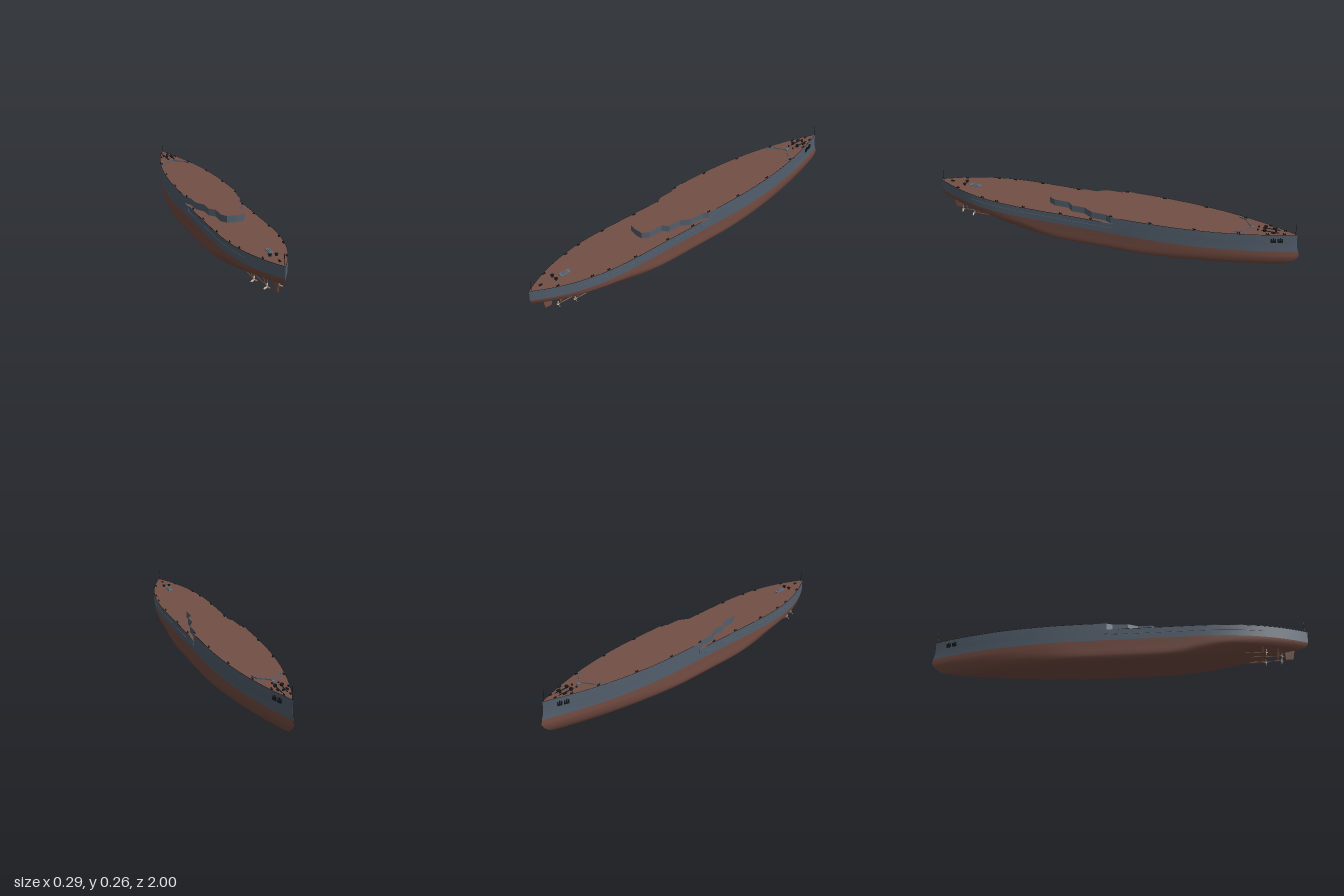
import * as THREE from 'three';

const mat = (name, color) => {
  const m = new THREE.MeshStandardMaterial({ color });
  m.name = name;
  return m;
};

// Waterlines: height, bow z, stern z, greatest half breadth
const LINES = [
  [0, -0.80, 0.66, 0.118], [0.006, -0.87, 0.69, 0.129], [0.015, -0.915, 0.73, 0.136],
  [0.03, -0.955, 0.80, 0.139], [0.05, -0.98, 0.87, 0.14], [0.065, -0.992, 0.95, 0.14],
  [0.08, -1, 0.99, 0.141], [0.105, -0.995, 1, 0.142],
  [0.135, -0.986, 1, 0.1425], [0.165, -0.984, 1, 0.143],
];
const N = 64;

// Half breadth of a waterline at z
function halfBreadth([y, bow, stern, w], z) {
  const k = y / 0.165;
  const b = Math.max(0, 1 - (z - bow) / (0.75 + 0.1 * k));
  const s = Math.max(0, 1 - (stern - z) / (0.5 + 0.1 * k));
  return w * Math.max(0, 1 - b ** (1.7 + 0.6 * k)) * Math.max(0, 1 - s ** (2.1 + 0.4 * k));
}

// One side of a waterline, bow to stern, closely spaced at the ends
function side(line) {
  const pts = [];
  for (let i = 0; i <= N; i++) {
    const z = line[1] + (line[2] - line[1]) * (1 - Math.cos(Math.PI * i / N)) / 2;
    pts.push([halfBreadth(line, z), z]);
  }
  return pts;
}
const mirrored = pts => pts.concat(pts.slice(1, -1).reverse().map(([x, z]) => [-x, z]));

// Skin lofted through a run of waterlines
function loft(lines) {
  const pos = [], idx = [], M = 2 * N;
  lines.forEach(l => mirrored(side(l)).forEach(([x, z]) => pos.push(x, l[0], z)));
  for (let j = 0; j < lines.length - 1; j++) {
    for (let i = 0; i < M; i++) {
      const a = j * M + i, b = j * M + (i + 1) % M;
      idx.push(a, a + M, b, b, a + M, b + M);
    }
  }
  const g = new THREE.BufferGeometry();
  g.setAttribute('position', new THREE.Float32BufferAttribute(pos, 3));
  g.setIndex(idx);
  g.computeVertexNormals();
  return g;
}
const planShape = (pts, sign) => new THREE.Shape(pts.map(([x, z]) => new THREE.Vector2(x, sign * z)));

export function createModel() {
  const ship = new THREE.Group();
  ship.name = 'ship';
  const red = mat('red brown bottom paint', 0x764e44);
  const slate = mat('slate grey paint', 0x535f6d);
  const wood = mat('brown deck', 0x734f45);
  const black = mat('black fittings', 0x14171a);
  const bronze = mat('propeller bronze', 0xc9b595);
  const steel = mat('blue grey hatch', 0x5a6f82);

  const add = (name, geo, material, x = 0, y = 0, z = 0, parent = ship) => {
    const m = new THREE.Mesh(geo, material);
    m.name = name;
    m.position.set(x, y, z);
    parent.add(m);
    return m;
  };
  const box = (name, w, h, d, material, x, y, z, parent) =>
    add(name, new THREE.BoxGeometry(w, h, d), material, x, y, z, parent);
  const rod = (name, r, h, material, x, y, z, parent) =>
    add(name, new THREE.CylinderGeometry(r, r, h, 10), material, x, y, z, parent);

  // Hull
  const top = LINES[9];
  add('lowerHull', loft(LINES.slice(0, 8)), red);
  add('upperHull', loft(LINES.slice(7)), slate);
  add('hullBottom', new THREE.ShapeGeometry(planShape(mirrored(side(LINES[0])), 1)).rotateX(Math.PI / 2), red);
  add('mainDeck', new THREE.ShapeGeometry(planShape(mirrored(side(top)), -1)).rotateX(-Math.PI / 2), wood, 0, 0.165, 0);

  // Raised forward deck with its stepped after end
  const raised = side(top).filter(p => p[1] < -0.05).concat([
    [0.142, -0.04], [0.125, -0.01], [0.122, 0.07], [0.105, 0.10], [0.092, 0.12],
    [0.092, 0.19], [0.064, 0.22], [0.064, 0.30], [0.042, 0.335], [0, 0.34]]);
  add('raisedDeck', new THREE.ExtrudeGeometry(planShape(mirrored(raised), -1),
    { depth: 0.036, bevelEnabled: false }).rotateX(-Math.PI / 2), [wood, slate], 0, 0.165, 0);

  // Dark trim along both deck edges
  const edge = (name, pts, y) => add(name, new THREE.TubeGeometry(new THREE.CatmullRomCurve3(
    pts.map(([x, z]) => new THREE.Vector3(x, y, z))), 80, 0.0012, 5), black);
  const flip = pts => pts.map(([x, z]) => [-x, z]);
  const fore = side(top).filter(p => p[1] < -0.05), aft = side(top).filter(p => p[1] > 0);
  [fore, flip(fore)].forEach(p => edge('foreDeckEdge', p, 0.201));
  [aft, flip(aft)].forEach(p => edge('aftDeckEdge', p, 0.165));

  // Breakwater on the foredeck
  const bw = [[-0.075, -0.67], [-0.06, -0.71], [-0.03, -0.725], [0, -0.75], [0.03, -0.725], [0.06, -0.71], [0.075, -0.67]];
  for (let i = 0; i < bw.length - 1; i++) {
    const [x0, z0] = bw[i], [x1, z1] = bw[i + 1];
    const wall = box('breakwater', Math.hypot(x1 - x0, z1 - z0), 0.006, 0.003, slate, (x0 + x1) / 2, 0.204, (z0 + z1) / 2);
    wall.rotation.y = -Math.atan2(z1 - z0, x1 - x0);
  }

  for (const s of [-1, 1]) {
    // Midship side platform
    box('sidePlatform', 0.012, 0.024, 0.07, slate, s * 0.139, 0.153, -0.015);

    // Armour step along the side
    const belt = [];
    for (let i = 0; i <= 40; i++) {
      const z = -0.05 + i * 0.0205;
      belt.push(new THREE.Vector3(s * (halfBreadth(LINES[8], z) + 0.0005), 0.137, z));
    }
    add('beltLedge', new THREE.TubeGeometry(new THREE.CatmullRomCurve3(belt), 60, 0.0015, 5), slate);

    // Bollard pairs along the deck edges
    for (const z of [-0.92, -0.84, -0.70, -0.48, -0.25, -0.04, 0.07, 0.24, 0.45, 0.61, 0.70, 0.87]) {
      const y = z < 0 ? 0.201 : 0.165, x = s * (halfBreadth(top, z) - 0.007);
      for (const dz of [-0.005, 0.005]) rod('bollard', 0.0025, 0.007, black, x, y + 0.0035, z + dz);
      box('bollardBase', 0.006, 0.002, 0.018, black, x, y + 0.001, z);
    }

    // Anchor chain, windlass and hawse fittings
    box('anchorChain', 0.004, 0.003, 0.09, black, s * 0.014, 0.2025, -0.85);
    rod('windlass', 0.008, 0.010, black, s * 0.017, 0.206, -0.82);
    rod('windlassCap', 0.010, 0.002, black, s * 0.017, 0.211, -0.82);
    box('chainStopper', 0.007, 0.006, 0.022, black, s * 0.024, 0.204, -0.865);
    rod('deckPipe', 0.005, 0.006, black, s * 0.016, 0.204, -0.785);

    // Paired bow anchors lying along the plating
    for (const z of [-0.905, -0.872]) {
      const anchor = new THREE.Group();
      anchor.name = 'anchor';
      anchor.position.set(s * (halfBreadth(top, z) + 0.001), 0.17, z);
      anchor.rotation.y = s * 0.34;
      ship.add(anchor);
      box('anchorShank', 0.006, 0.024, 0.006, black, 0, 0.002, 0, anchor);
      box('anchorCrown', 0.007, 0.008, 0.026, black, 0, -0.008, 0, anchor);
      for (const d of [-1, 1]) box('anchorFluke', 0.006, 0.018, 0.006, black, 0, 0, d * 0.010, anchor);
    }

    // Propellers with shafts and struts
    for (const [px, py, pz] of [[0.065, 0.030, 0.78], [0.031, 0.020, 0.86]]) {
      const screw = new THREE.Group();
      screw.name = 'propeller';
      screw.position.set(s * px, py, pz);
      ship.add(screw);
      const hub = add('propellerHub', new THREE.ConeGeometry(0.0045, 0.016, 12), bronze, 0, 0, 0.004, screw);
      hub.rotation.x = Math.PI / 2;
      for (let k = 0; k < 3; k++) {
        const arm = new THREE.Group();
        arm.name = 'bladeArm';
        arm.rotation.z = k * Math.PI * 2 / 3;
        screw.add(arm);
        const blade = add('propellerBlade', new THREE.SphereGeometry(1, 12, 8), bronze, 0, 0.0105, 0, arm);
        blade.scale.set(0.005, 0.0095, 0.001);
        blade.rotation.y = 0.5;
      }
      const shaft = rod('propellerShaft', 0.0025, 0.2, red, s * px, py + 0.002, pz - 0.1);
      shaft.rotation.x = Math.PI / 2;
      for (const lean of [-0.3, 0.3]) {
        const strut = box('shaftStrut', 0.003, 0.04, 0.008, red, s * px - lean * 0.02, py + 0.02, pz - 0.018);
        strut.rotation.z = lean;
      }
    }

    // Stern capstans
    rod('sternCapstan', 0.007, 0.008, black, s * 0.016, 0.169, 0.85);
    rod('sternCapstanCap', 0.010, 0.002, black, s * 0.016, 0.174, 0.85);
  }

  // Rudder
  const rudder = new THREE.Shape([[0.875, 0.075], [0.88, 0.012], [0.918, 0.012], [0.93, 0.08]]
    .map(([z, y]) => new THREE.Vector2(-z, y)));
  add('rudder', new THREE.ExtrudeGeometry(rudder, { depth: 0.007, bevelEnabled: false })
    .rotateY(Math.PI / 2), red, -0.0035, 0, 0);

  // Centreline fittings and flagstaffs
  box('sternHatch', 0.022, 0.005, 0.06, steel, 0.004, 0.1675, 0.79);
  box('sternHatchLid', 0.012, 0.003, 0.03, slate, 0.004, 0.171, 0.79);
  box('sternFairlead', 0.008, 0.006, 0.018, black, 0, 0.168, 0.93);
  rod('foreCapstan', 0.006, 0.008, black, 0, 0.205, -0.875);
  box('foreHatch', 0.014, 0.004, 0.02, steel, 0, 0.203, -0.755);
  rod('jackstaff', 0.0013, 0.062, black, 0, 0.231, -0.975);
  rod('ensignStaff', 0.0013, 0.058, black, 0, 0.194, 0.985);
  return ship;
}
